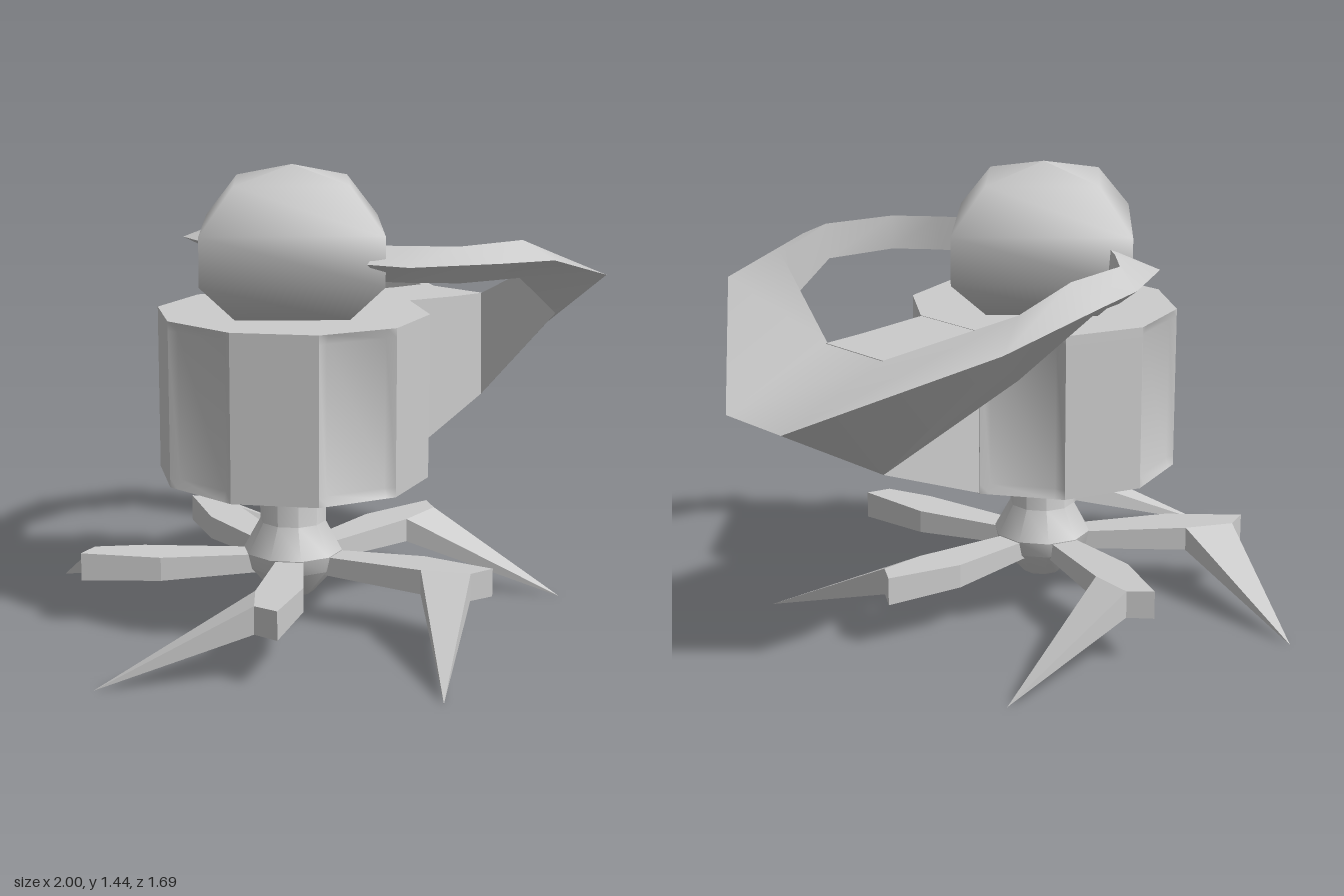
import * as THREE from 'three';
import { toCreasedNormals } from 'three/addons/utils/BufferGeometryUtils.js';
import { ConvexGeometry } from 'three/addons/geometries/ConvexGeometry.js';

const AXIS_X = -0.13;
const RAD = Math.PI / 180;
const grey = new THREE.MeshStandardMaterial({ color: 0xcccccc });

function part(parent, name, geometry) {
  const mesh = new THREE.Mesh(geometry, grey);
  mesh.name = name;
  parent.add(mesh);
  return mesh;
}

// Skin a row of equal-length closed cross-sections and cap both ends
function loft(sections, crease) {
  const pos = [];
  const tri = (...pts) => pts.forEach((p) => pos.push(...p));
  const n = sections[0].length;
  for (let s = 0; s < sections.length - 1; s++) {
    const a = sections[s], b = sections[s + 1];
    for (let i = 0; i < n; i++) {
      const j = (i + 1) % n;
      tri(a[i], b[j], a[j]);
      tri(a[i], b[i], b[j]);
    }
  }
  const first = sections[0], last = sections[sections.length - 1];
  for (let i = 1; i < n - 1; i++) {
    tri(first[0], first[i], first[i + 1]);
    tri(last[0], last[i + 1], last[i]);
  }
  const g = new THREE.BufferGeometry();
  g.setAttribute('position', new THREE.Float32BufferAttribute(pos, 3));
  return toCreasedNormals(g, crease);
}

// Ten-sided outline; every other side is slightly hollowed by depth
function bodyRing(y, depth, size) {
  const ring = [];
  const corner = (deg) => [0.415 * size * Math.cos(deg * RAD), 0.435 * size * Math.sin(deg * RAD)];
  for (let k = 0; k < 10; k++) {
    const a = corner(36 * k - 18), b = corner(36 * k + 18);
    ring.push([a[0], y, a[1]]);
    if (k % 2 === 0) continue;
    for (const t of [0.12, 0.88]) {
      ring.push([
        a[0] + (b[0] - a[0]) * t - depth * Math.cos(36 * k * RAD), y,
        a[1] + (b[1] - a[1]) * t - depth * Math.sin(36 * k * RAD),
      ]);
    }
  }
  return ring;
}

// One leg, pointing along +x: a flat beam and a spike swept to the side
function makeLeg(parent, name, angle, reach) {
  const leg = new THREE.Group();
  leg.name = name;
  leg.position.x = AXIS_X;
  leg.rotation.y = -angle * RAD;
  const point = (x, y, z) => new THREE.Vector3(x * reach, y, z * reach);
  const outline = [[0.1, -0.04], [0.42, -0.06], [0.66, 0], [0.614, 0.07], [0.459, 0.08], [0.1, 0.04]];
  const top = (x) => 0.212 + 0.035 * x;
  const bottom = (x) => 0.16 - 0.02 * x;
  const pair = ([x, z]) => [point(x, top(x), z), point(x, bottom(x), z)];
  part(leg, 'legBeam', new ConvexGeometry(outline.flatMap(pair)));
  part(leg, 'legSpike', new ConvexGeometry([
    ...pair(outline[3]), ...pair(outline[4]), point(0.697, 0, 0.525),
  ]));
  parent.add(leg);
}

export function createModel() {
  const model = new THREE.Group();
  model.name = 'walker';

  // Ten-sided drum body, hollowed underneath
  const rings = [
    [0.68, 0, 0.22], [0.47, 0, 1], [0.5, 0.012, 1], [0.955, 0.012, 1], [0.985, 0, 1],
  ].map((r) => bodyRing(...r));
  part(model, 'body', loft(rings, 0.6)).position.x = AXIS_X;

  // Four-sided rounded head
  const headProfile = [[0, 0.985], [0.245, 0.985], [0.388, 1.1], [0.388, 1.25], [0.245, 1.388], [0, 1.437]];
  const head = new THREE.LatheGeometry(headProfile.map(([r, y]) => new THREE.Vector2(r, y)), 4);
  part(model, 'head', head).position.x = AXIS_X;

  // Neck, flaring into the hub that carries the legs
  const neckProfile = [[0, 0.08], [0.065, 0.08], [0.145, 0.17], [0.157, 0.22], [0.105, 0.315], [0.107, 0.69]];
  const neck = new THREE.LatheGeometry(neckProfile.map(([r, y]) => new THREE.Vector2(r, y)), 10);
  part(model, 'neckAndHub', toCreasedNormals(neck, 0.7)).position.x = AXIS_X;

  // Side fin joining the body to the hoop
  const fin = new THREE.Shape([
    [0.2, 0.984], [0.26, 0.984], [0.5, 0.97], [0.635, 0.965], [0.64, 0.62], [0.26, 0.47], [0.24, 0.47],
  ].map(([x, y]) => new THREE.Vector2(x, y)));
  part(model, 'sideFin', new THREE.ExtrudeGeometry(fin, { depth: 0.264, bevelEnabled: false })).position.z = -0.132;

  // Hoop: triangular sections (outer ridge, inner top, inner bottom), mirrored in z
  const half = [
    [[-0.18, 1.17, 0.36], [-0.09, 1.215, 0.33], [-0.08, 1.105, 0.33]],
    [[-0.14, 1.17, 0.49], [-0.04, 1.215, 0.4], [-0.04, 1.105, 0.4]],
    [[0.11, 1.17, 0.63], [0.06, 1.215, 0.515], [0.06, 1.105, 0.515]],
    [[0.3, 1.165, 0.68], [0.3, 1.215, 0.557], [0.29, 1.1, 0.557]],
    [[0.63, 1.08, 0.635], [0.49, 1.15, 0.545], [0.49, 0.965, 0.545]],
    [[1, 0.82, 0.132], [0.63, 0.965, 0.132], [0.64, 0.62, 0.132]],
  ];
  const mirrored = half.map((s) => s.map(([x, y, z]) => [x, y, -z])).reverse();
  part(model, 'armHoop', loft([...half, ...mirrored], 0.75));

  // Five legs around the hub: angle and reach
  const legs = [[-2, 1.02], [69.5, 1.01], [139, 1], [216.4, 1.015], [283.4, 1.01]];
  legs.forEach(([angle, reach], i) => makeLeg(model, `leg${i + 1}`, angle, reach));

  return model;
}
